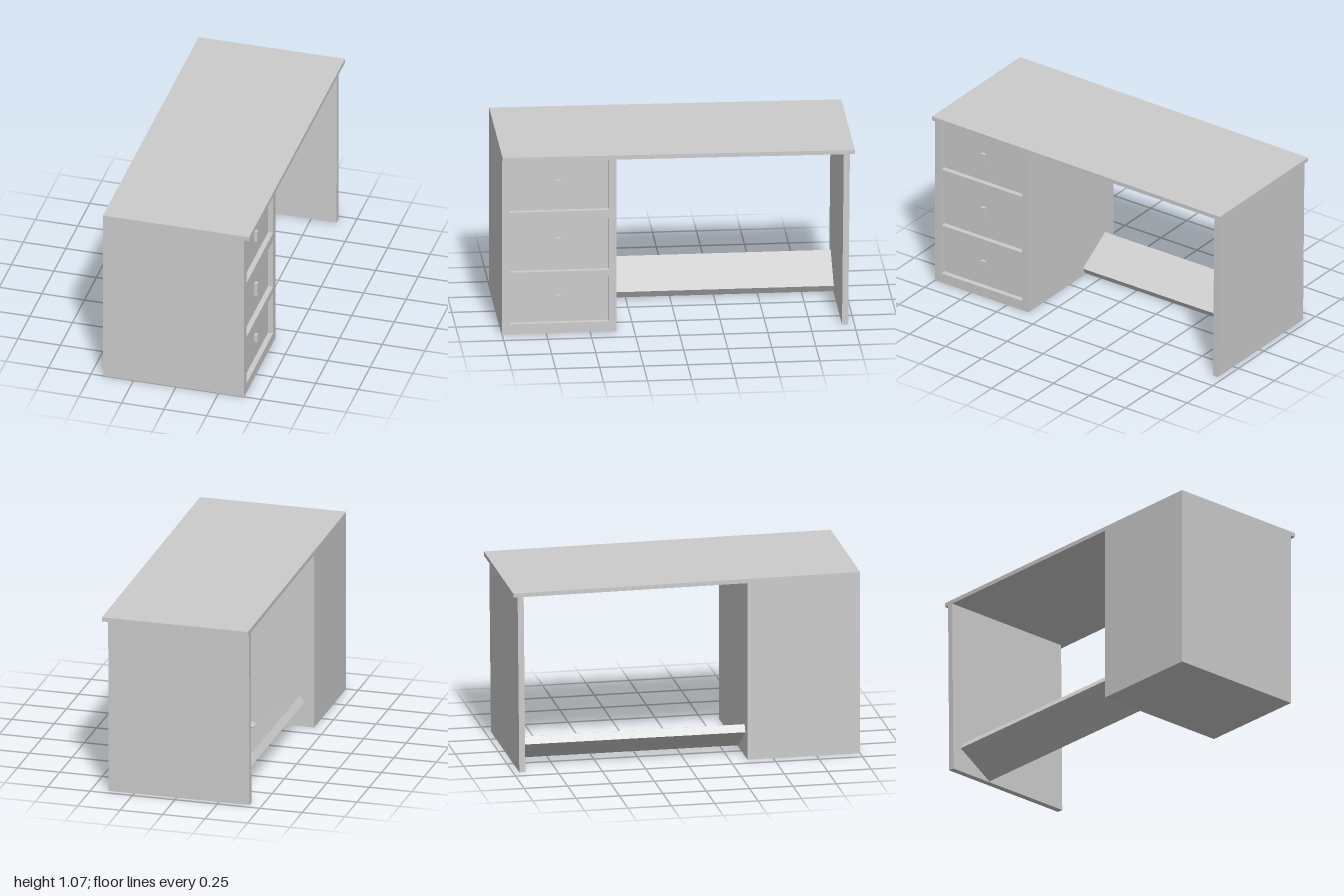
import * as THREE from 'three';

const material = new THREE.MeshStandardMaterial({ color: 0xcccccc, flatShading: true });

// Outline given as [z, y] points, mapped so the extrusion runs along +x
const outline = (pts, Type = THREE.Shape) =>
  new Type(pts.map(([z, y]) => new THREE.Vector2(-z, y)));

const rect = (z0, z1, y0, y1) => [[z0, y0], [z1, y0], [z1, y1], [z0, y1]];

function slab(name, pts, x0, x1, holes = []) {
  const shape = outline(pts);
  shape.holes = holes.map((h) => outline(h, THREE.Path));
  const geo = new THREE.ExtrudeGeometry(shape, { depth: x1 - x0, bevelEnabled: false });
  geo.rotateY(Math.PI / 2).translate(x0, 0, 0);
  const mesh = new THREE.Mesh(geo, material);
  mesh.name = name;
  return mesh;
}

export function createModel() {
  const desk = new THREE.Group();
  desk.name = 'desk';
  const back = -0.43, face = 0.4, recess = 0.03;

  // Table top, dropping slightly towards the far end
  desk.add(slab('tableTop', [[1, 1.045], [-1, 1.032], [-1, 1.056], [1, 1.07]], back, 0.43));

  // Drawer cabinet: solid body and a face frame with drawer openings
  const cabinet = rect(1, 0.35, 0, 1.045);
  const drawers = [
    { y0: 0.73, y1: 1.025, h0: 0.845, h1: 0.91 },
    { y0: 0.37, y1: 0.68, h0: 0.485, h1: 0.565 },
    { y0: 0.06, y1: 0.33, h0: 0.175, h1: 0.22 },
  ];
  desk.add(slab('cabinetBody', cabinet, back, face - recess));
  desk.add(slab('drawerFrame', cabinet, face - recess, face,
    drawers.map((d) => rect(0.955, 0.395, d.y0, d.y1))));

  // Small upright handles inside the recesses
  for (const d of drawers) {
    desk.add(slab('drawerHandle', rect(0.69, 0.665, d.h0, d.h1), face - recess, face - 0.01));
  }

  // End panel, leaning slightly outwards
  desk.add(slab('endPanel', [[-0.93, 0], [-0.965, 0], [-0.975, 1.04], [-0.94, 1.04]], back, face));

  // Tilted footrest plank between cabinet and end panel
  const width = 0.258, thick = 0.048;
  const footrest = new THREE.Mesh(new THREE.BoxGeometry(width, thick, 1.285), material);
  footrest.name = 'footrest';
  footrest.rotation.z = -Math.atan2(0.14, 0.217);
  footrest.position.set(-0.251, 0.095, -0.291);
  desk.add(footrest);

  return desk;
}
